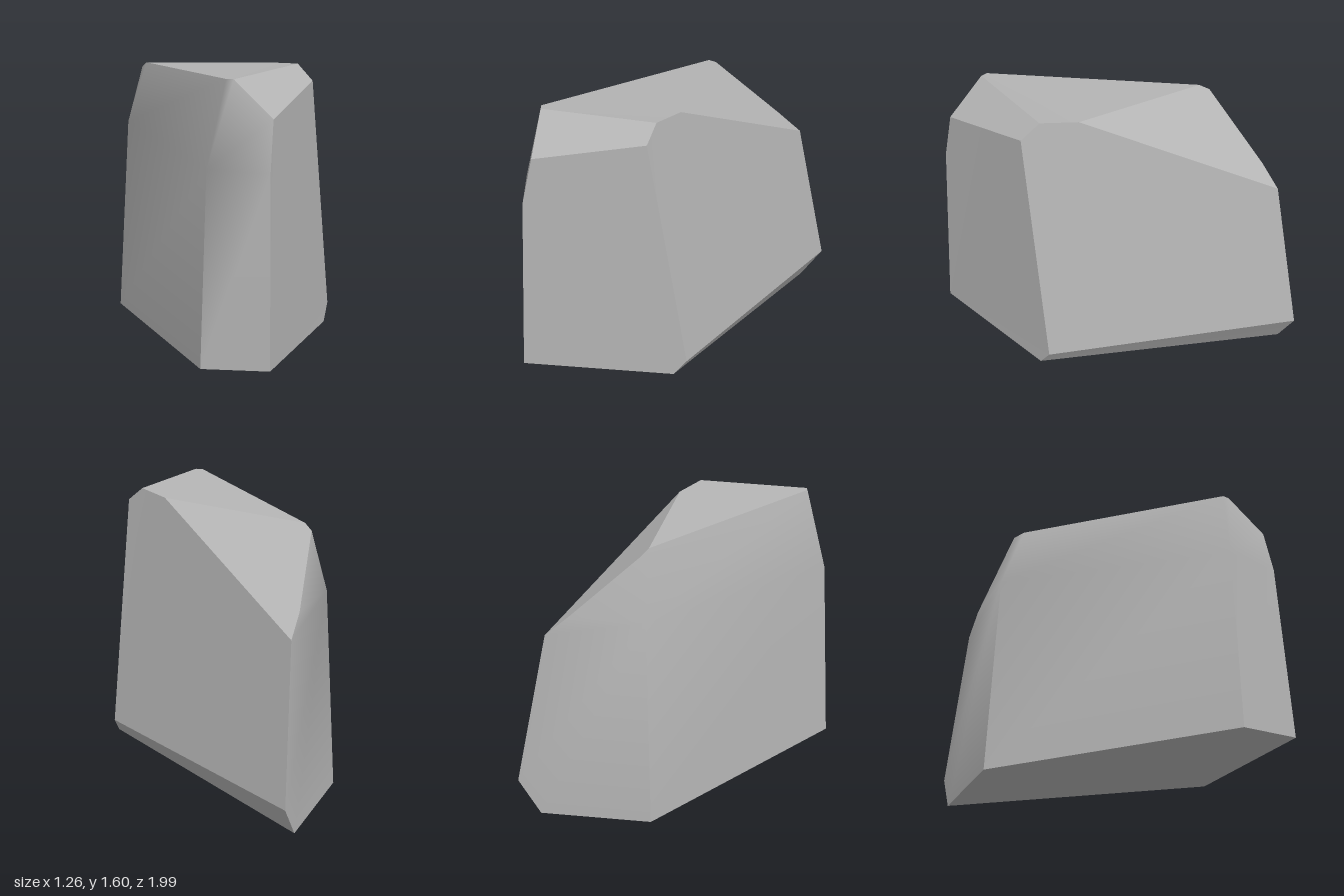
import * as THREE from 'three';

// Corners of the boulder, by height
const P = {
  // base
  baseLeft: [-0.63, 0.015, -0.33], baseBack: [-0.36, 0, -0.89], baseFrontL: [-0.03, 0.12, 0.91],
  baseFrontR: [0.33, 0.15, 0.99], baseRight: [0.61, 0.13, 0.2],
  // chamfer along the back foot
  footRight: [0.63, 0.22, 0.13], footBack: [-0.3, 0.19, -1],
  // shoulder
  shBack: [-0.33, 1.05, -0.82], shBackL: [-0.38, 1.16, -0.7], shLeft: [-0.56, 1.16, -0.33],
  shFrontL: [0, 1.16, 0.86], shFrontR: [0.32, 1.16, 0.93],
  // crown
  crLeftLow: [-0.47, 1.49, -0.33], crLeft: [-0.44, 1.52, -0.28], crBack: [0.31, 1.58, 0.08],
  crFrontL: [0.09, 1.6, 0.77], crFrontR: [0.13, 1.6, 0.78], crRight: [0.44, 1.6, 0.24],
  capFront: [0.33, 1.42, 0.87], capRight: [0.52, 1.52, 0.31],
};

// Builds polygons as fans; corners passing isShared are welded so they shade smoothly
function facets(polys, isShared) {
  const pos = [], index = [], welded = {};
  for (const poly of polys) {
    const ids = poly.map((name) => {
      if (isShared(name) && name in welded) return welded[name];
      const id = pos.length / 3;
      pos.push(...P[name]);
      return (welded[name] = id);
    });
    for (let i = 1; i < ids.length - 1; i++) index.push(ids[0], ids[i], ids[i + 1]);
  }
  const g = new THREE.BufferGeometry();
  g.setAttribute('position', new THREE.Float32BufferAttribute(pos, 3));
  g.setIndex(index);
  g.computeVertexNormals();
  return g;
}

export function createModel() {
  const group = new THREE.Group();
  group.name = 'boulder';
  const stone = new THREE.MeshStandardMaterial({ color: 0xb4b4b4 });
  stone.name = 'grey stone';
  const add = (name, polys, isShared = () => false) => {
    const mesh = new THREE.Mesh(facets(polys, isShared), stone);
    mesh.name = name;
    group.add(mesh);
  };

  // Weathered sides: creased at the base, melting together at the shoulder
  add('weatheredSides', [
    ['shLeft', 'shBackL', 'shBack', 'footBack', 'baseBack', 'baseLeft'],
    ['shBackL', 'shLeft', 'crLeftLow'],
    ['baseLeft', 'baseFrontL', 'shFrontL', 'shLeft'],
    ['shLeft', 'shFrontL', 'crFrontL', 'crLeft', 'crLeftLow'],
    ['baseFrontL', 'baseFrontR', 'shFrontR', 'shFrontL'],
    ['shFrontL', 'shFrontR', 'capFront', 'crFrontR', 'crFrontL'],
  ], (name) => !name.startsWith('base'));

  // Flat cleaved faces
  add('rightFace', [['baseFrontR', 'baseRight', 'footRight', 'capRight', 'capFront', 'shFrontR']]);
  add('backFace', [['footRight', 'footBack', 'shBack', 'crBack', 'crRight', 'capRight']]);
  add('footChamfer', [['baseRight', 'baseBack', 'footBack', 'footRight']]);
  add('cornerCut', [['capFront', 'capRight', 'crRight', 'crFrontR']]);
  add('topFace', [['crBack', 'crLeft', 'crFrontL', 'crFrontR', 'crRight']]);
  add('backSlope', [['crBack', 'shBack', 'shBackL', 'crLeftLow', 'crLeft']]);
  add('underside', [['baseFrontL', 'baseLeft', 'baseBack', 'baseRight', 'baseFrontR']]);
  return group;
}
